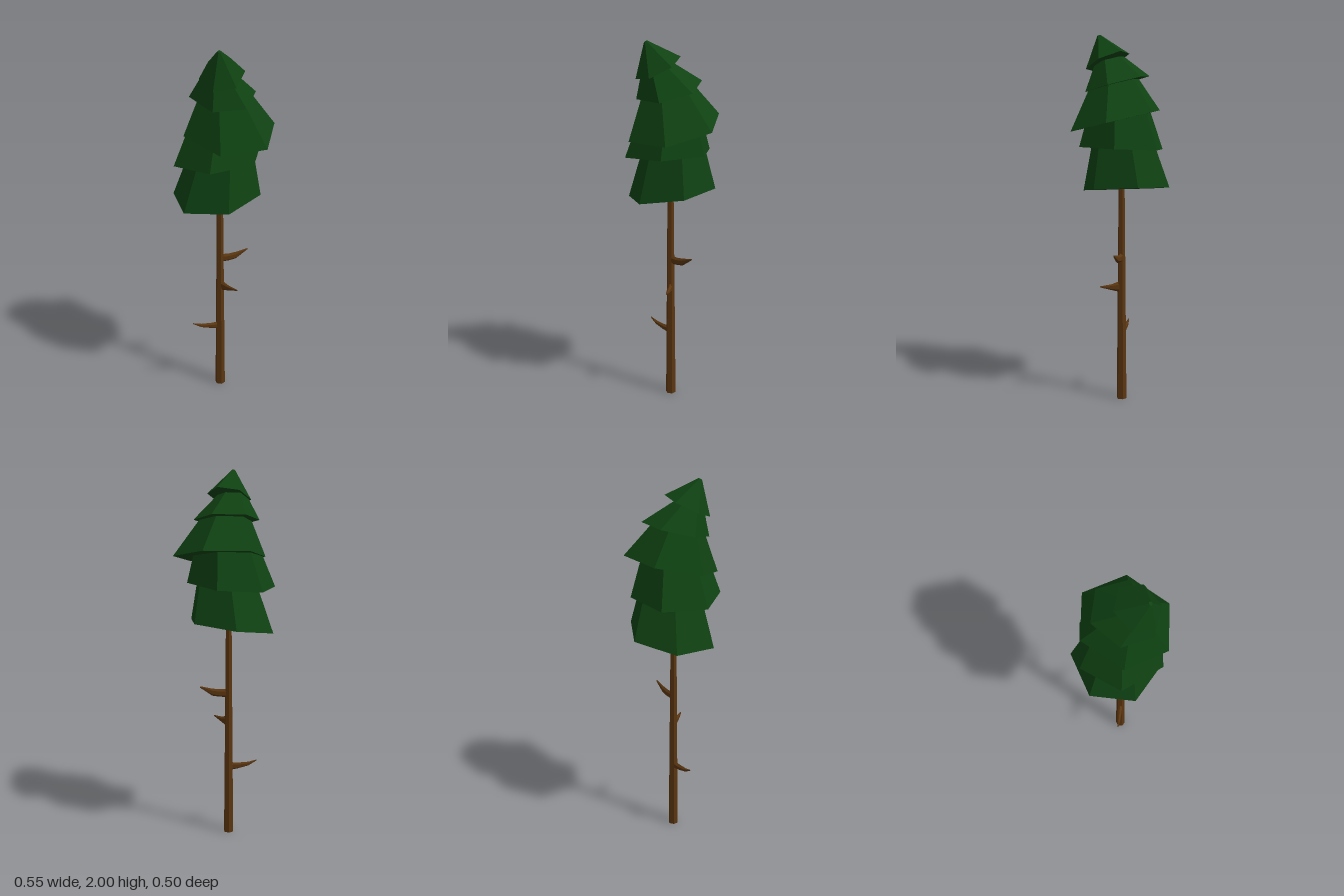
import * as THREE from 'three';

const V = (x, y, z) => new THREE.Vector3(x, y, z);

// Closed, flat-faced skin over a list of rings with equal point counts
function loft(rings) {
  const pos = [];
  const tri = (...pts) => pts.forEach((p) => pos.push(p.x, p.y, p.z));
  const middle = (ring) => ring.reduce((s, p) => s.add(p), V(0, 0, 0)).divideScalar(ring.length);
  const first = rings[0], last = rings[rings.length - 1];
  const n = first.length, c0 = middle(first), c1 = middle(last);
  for (let i = 0; i < n; i++) {
    const j = (i + 1) % n;
    for (let k = 0; k < rings.length - 1; k++) {
      const a = rings[k], b = rings[k + 1];
      tri(a[i], b[i], a[j]);
      tri(b[i], b[j], a[j]);
    }
    tri(c0, first[i], first[j]);
    tri(c1, last[j], last[i]);
  }
  const g = new THREE.BufferGeometry();
  g.setAttribute('position', new THREE.Float32BufferAttribute(pos, 3));
  g.computeVertexNormals();
  return g;
}

// Hexagon ring, sloped along x and z
function hexRing([x, y, z], r, phase, slopeX = 0, slopeZ = 0) {
  return Array.from({ length: 6 }, (_, i) => {
    const a = THREE.MathUtils.degToRad(phase + i * 60);
    const dx = r * Math.cos(a), dz = r * Math.sin(a);
    return V(x + dx, y + slopeX * dx + slopeZ * dz, z + dz);
  });
}

// Broken branch: sections of [distance, centre height, half height, half width]
function branchRings([x, z], angle, sections) {
  const d = V(Math.cos(angle), 0, Math.sin(angle));
  const up = V(0, 1, 0), side = up.clone().cross(d);
  return sections.map(([t, y, h, w]) =>
    [0, 1, 2, 3, 4, 5].map((i) => {
      const a = (i * Math.PI) / 3;
      return V(x, y, z).addScaledVector(d, t)
        .addScaledVector(up, h * Math.cos(a)).addScaledVector(side, w * Math.sin(a));
    }));
}

export function createModel() {
  const group = new THREE.Group();
  group.name = 'pineTree';
  const needles = new THREE.MeshStandardMaterial({ color: 0x0f4212 });
  needles.name = 'needle green';
  const bark = new THREE.MeshStandardMaterial({ color: 0x5a3510 });
  bark.name = 'bark brown';

  const add = (name, rings, material) => {
    const mesh = new THREE.Mesh(loft(rings), material);
    mesh.name = name;
    group.add(mesh);
  };

  // Trunk
  add('trunk', [
    hexRing([-0.02, 0, 0.011], 0.028, 30),
    hexRing([-0.02, 1.3, 0.011], 0.016, 30),
  ], bark);

  // Branch stubs
  const root = [-0.02, 0.011];
  add('lowerBranch', branchRings(root, Math.PI, [
    [0, 0.385, 0.024, 0.014], [0.05, 0.387, 0.017, 0.014],
    [0.11, 0.396, 0.011, 0.01], [0.156, 0.415, 0.003, 0.003]]), bark);
  add('middleBranch', branchRings(root, Math.atan2(0.104, 0.07), [
    [0, 0.643, 0.034, 0.014], [0.06, 0.643, 0.016, 0.011], [0.125, 0.65, 0.003, 0.003]]), bark);
  add('upperBranch', branchRings(root, 0, [
    [0, 0.808, 0.024, 0.014], [0.05, 0.808, 0.021, 0.013],
    [0.09, 0.814, 0.02, 0.011], [0.157, 0.845, 0.004, 0.003]]), bark);

  // Foliage tiers, bottom to top, each leaning its own way
  const tiers = [
    { base: [-0.033, 1.183, -0.01], r: 0.24, top: [-0.008, 1.45, 0.005], rTop: 0.165, phase: 30, sx: 0.14, sz: -0.07 },
    { base: [-0.035, 1.403, 0.015], r: 0.24, top: [-0.01, 1.66, 0.018], rTop: 0.155, phase: -6, sx: 0.075, sz: 0.02 },
    { base: [0.027, 1.553, 0.03], r: 0.249, top: [-0.015, 1.79, 0.055], rTop: 0.112, phase: -4, sx: 0.01, sz: -0.25 },
    { base: [-0.01, 1.745, 0.03], r: 0.174, top: [-0.045, 1.87, 0.085], rTop: 0.078, phase: 2, sx: 0.02, sz: -0.27 },
    { base: [-0.03, 1.862, 0.09], r: 0.116, top: [-0.06, 1.997, 0.147], rTop: 0.009, phase: 8, sx: 0.2, sz: -0.45 },
  ];
  tiers.forEach((t, i) => add('foliageTier' + (i + 1), [
    hexRing(t.base, t.r, t.phase, t.sx, t.sz),
    hexRing(t.top, t.rTop, t.phase, t.sx, t.sz),
  ], needles));

  return group;
}
